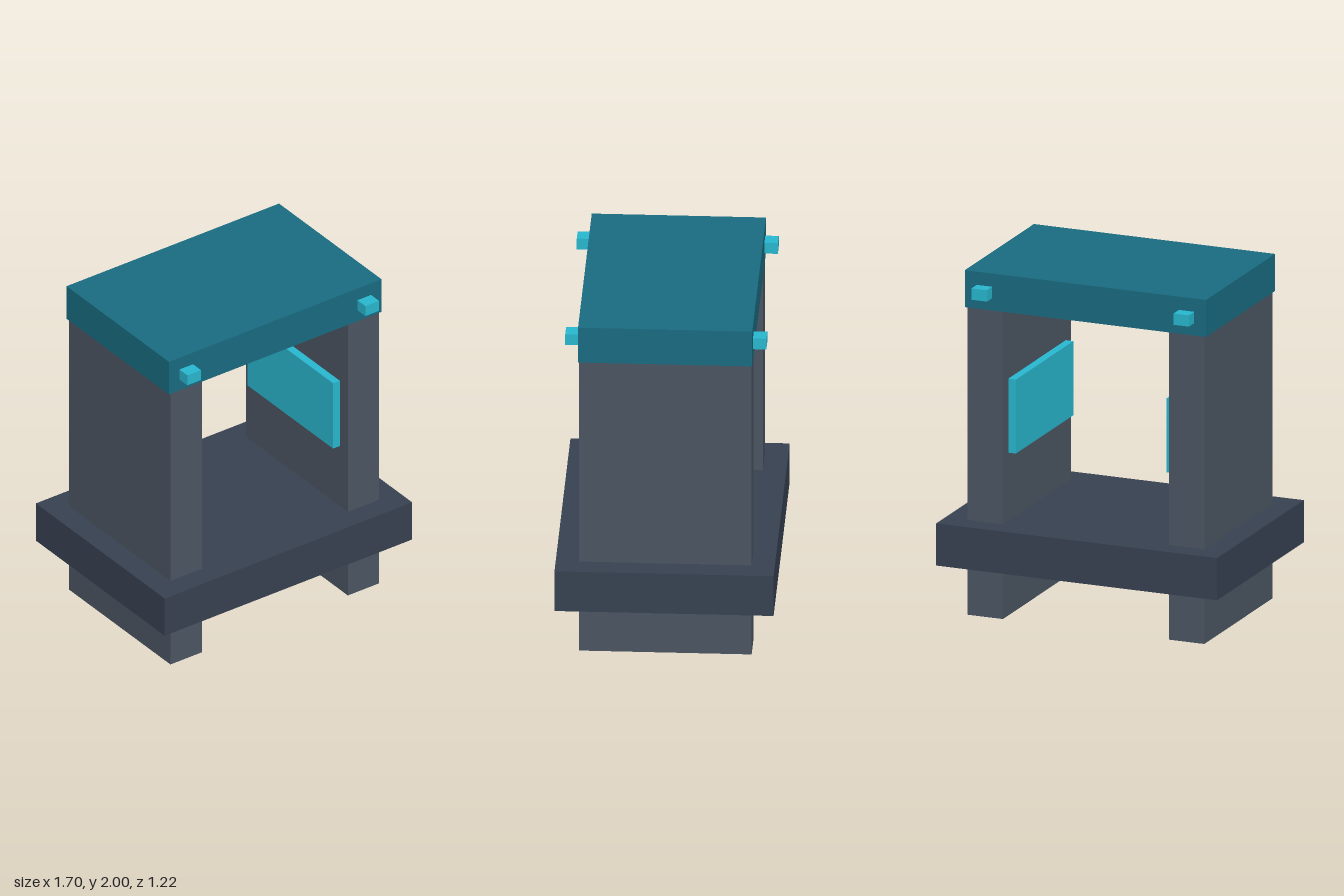
import * as THREE from 'three';

const paint = (color) => new THREE.MeshStandardMaterial({ color, flatShading: true });

export function createModel() {
  const model = new THREE.Group();
  const wallGrey = paint(0x4b5563);
  const baseGrey = paint(0x374151);
  const teal = paint(0x196c82);
  const cyan = paint(0x29b8d0);

  // Box given by its extents on each axis
  function box(name, material, [x0, x1], [y0, y1], [z0, z1]) {
    const mesh = new THREE.Mesh(new THREE.BoxGeometry(x1 - x0, y1 - y0, z1 - z0), material);
    mesh.position.set((x0 + x1) / 2, (y0 + y1) / 2, (z0 + z1) / 2);
    mesh.name = name;
    model.add(mesh);
  }

  // Range mirrored to the negative side when s is -1
  const side = (s, a, b) => (s > 0 ? [a, b] : [-b, -a]);

  // Platform and roof
  box('platform', baseGrey, [-0.85, 0.85], [0.305, 0.55], [-0.61, 0.61]);
  box('roof', teal, [-0.73, 0.73], [1.785, 2], [-0.485, 0.485]);

  for (const s of [1, -1]) {
    const label = s > 0 ? 'left' : 'right';

    // Side wall, running through the platform down to the ground
    box(`${label}Wall`, wallGrey, side(s, 0.502, 0.717), [0, 1.785], [-0.481, 0.481]);

    // Thin panel on the inner face of the wall
    box(`${label}Panel`, cyan, side(s, 0.456, 0.502), [0.945, 1.375], [-0.405, 0.405]);

    // Small blocks on the front and back edges of the roof
    for (const f of [1, -1]) {
      box(`${label}${f > 0 ? 'Front' : 'Back'}Lamp`, cyan,
        side(s, 0.565, 0.658), [1.857, 1.923], side(f, 0.485, 0.56));
    }
  }
  return model;
}
